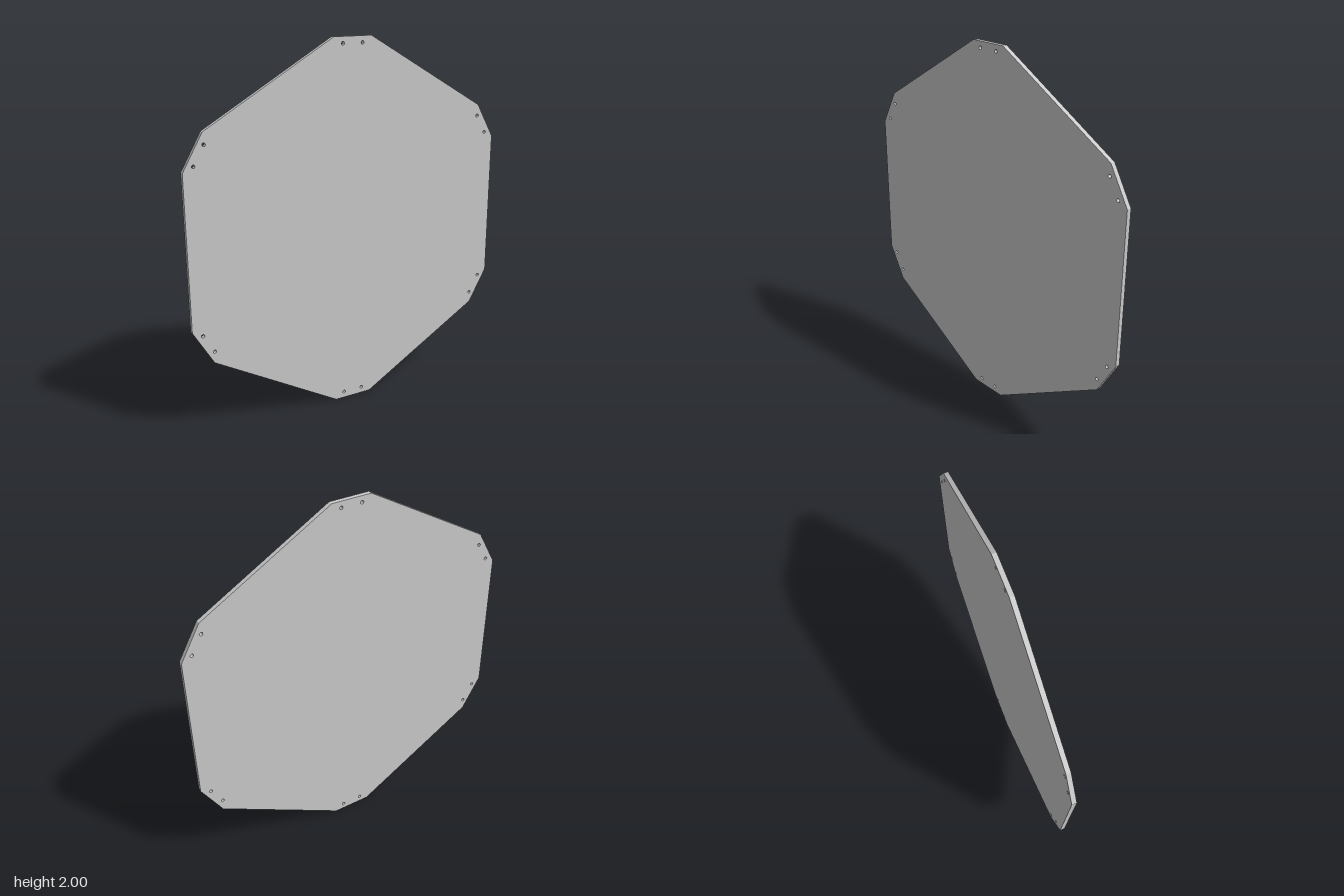
import * as THREE from 'three';

const APOTHEM = 1, HALF_CORNER = 0.108, THICKNESS = 0.025;
const HOLE_APOTHEM = 0.966, HOLE_OFFSET = 0.057, HOLE_RADIUS = 0.009;

// Point at a distance out along one of the six corner directions, shifted sideways
function cornerPoint(i, out, side) {
  return new THREE.Vector2(side, out).rotateAround(new THREE.Vector2(), i * Math.PI / 3);
}

export function createModel() {
  const group = new THREE.Group();
  group.name = 'hexagonalPanel';

  // Hexagon with cut corners, two screw holes at each corner
  const outline = [], holes = [];
  for (let i = 0; i < 6; i++) {
    for (const s of [1, -1]) {
      outline.push(cornerPoint(i, APOTHEM, s * HALF_CORNER));
      const c = cornerPoint(i, HOLE_APOTHEM, s * HOLE_OFFSET);
      holes.push(new THREE.Path().absarc(c.x, c.y, HOLE_RADIUS, 0, Math.PI * 2, true));
    }
  }
  const shape = new THREE.Shape(outline);
  shape.holes = holes;

  const geometry = new THREE.ExtrudeGeometry(shape, {
    depth: THICKNESS, bevelEnabled: false, curveSegments: 12,
  });
  geometry.translate(0, APOTHEM, -THICKNESS / 2);

  const plate = new THREE.Mesh(geometry, new THREE.MeshStandardMaterial({ color: 0xcccccc }));
  plate.name = 'plate';
  group.add(plate);
  return group;
}
